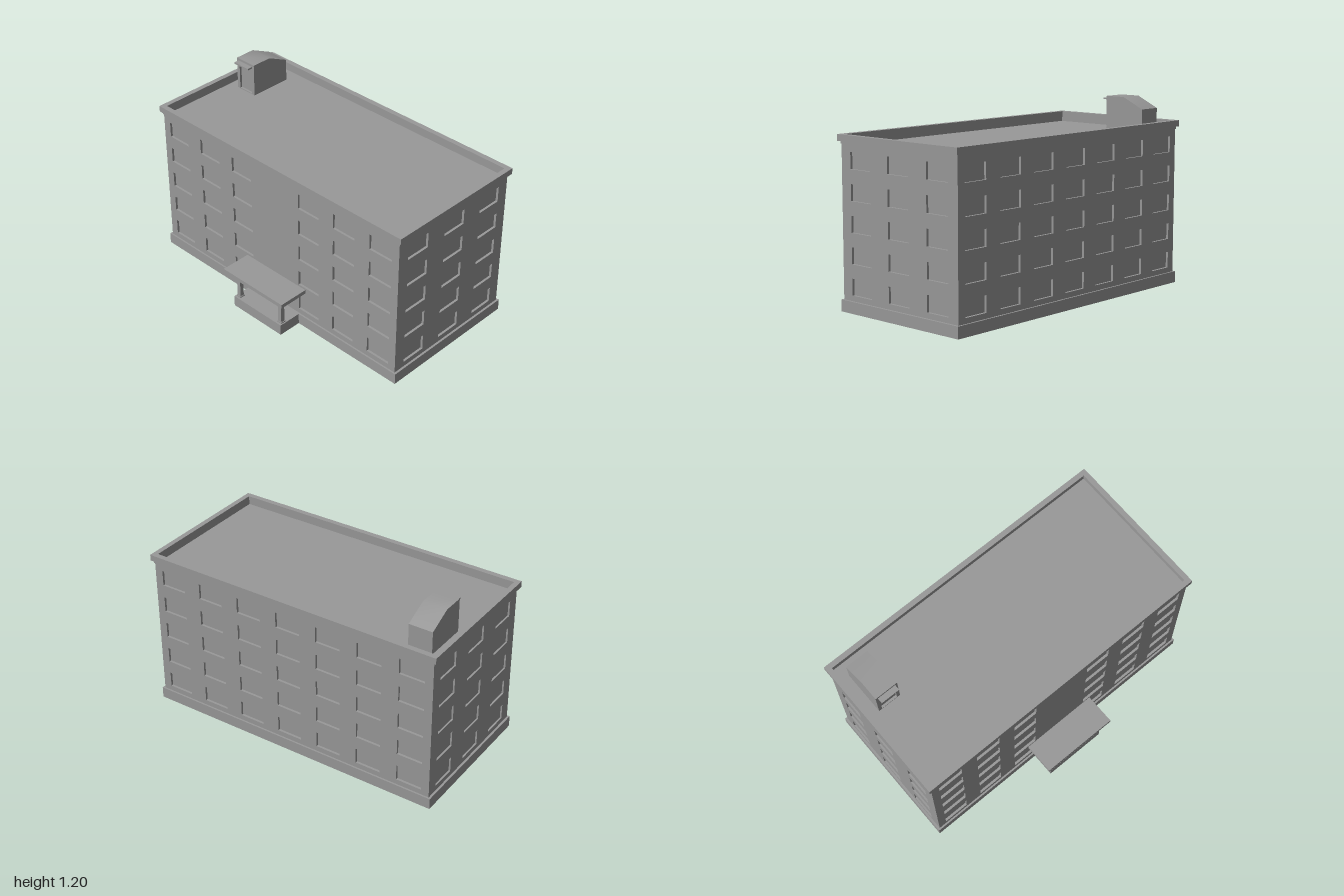
import * as THREE from 'three';
import { mergeGeometries, toCreasedNormals } from 'three/addons/utils/BufferGeometryUtils.js';

const CX = 0.092;                // centre of the block along x
const HW = 0.471, HD = 0.98;     // half width and half depth of the walls
const WALL_TOP = 1.009;
const WIN_W = 0.168, WIN_H = 0.101;
const ROWS = [0, 1, 2, 3, 4].map(i => 0.156 + i * 0.186);

const COLOR = 0x999999;
const grey = new THREE.MeshStandardMaterial({ color: COLOR, flatShading: true, side: THREE.DoubleSide });
const smoothGrey = new THREE.MeshStandardMaterial({ color: COLOR });

function addMesh(parent, name, geometry, material = grey) {
  const mesh = new THREE.Mesh(geometry, material);
  mesh.name = name;
  parent.add(mesh);
}

// Box given by its lower and upper corners
function addBox(parent, name, [x0, y0, z0], [x1, y1, z1]) {
  const g = new THREE.BoxGeometry(x1 - x0, y1 - y0, z1 - z0);
  g.translate((x0 + x1) / 2, (y0 + y1) / 2, (z0 + z1) / 2);
  addMesh(parent, name, g);
}

function rectPath(path, x0, y0, x1, y1) {
  path.moveTo(x0, y0);
  path.lineTo(x1, y0);
  path.lineTo(x1, y1);
  path.lineTo(x0, y1);
  path.closePath();
  return path;
}

// Rectangular band around the block, from y0 to y1
function addRing(parent, name, outer, inner, y0, y1) {
  const shape = rectPath(new THREE.Shape(), CX - outer[0], -outer[1], CX + outer[0], outer[1]);
  shape.holes.push(rectPath(new THREE.Path(), CX - inner[0], -inner[1], CX + inner[0], inner[1]));
  const g = new THREE.ExtrudeGeometry(shape, { depth: y1 - y0, bevelEnabled: false });
  g.rotateX(-Math.PI / 2);
  g.translate(0, y0, 0);
  addMesh(parent, name, g);
}

// Box without its front face
function openBox(w, h, d) {
  const g = new THREE.BoxGeometry(w, h, d);
  g.setIndex([...g.index.array].filter((_, i) => i < 24 || i >= 30));
  return g;
}

// Thin wall facing local +z, with a grid of recessed windows
function makeWall(name, halfLength, columns, recess) {
  const wall = new THREE.Group();
  wall.name = name;
  const shape = rectPath(new THREE.Shape(), -halfLength, 0, halfLength, WALL_TOP);
  const recesses = [];
  for (const x of columns) {
    for (const y of ROWS) {
      shape.holes.push(rectPath(new THREE.Path(), x - WIN_W / 2, y - WIN_H / 2, x + WIN_W / 2, y + WIN_H / 2));
      recesses.push(openBox(WIN_W, WIN_H, recess).translate(x, y, -recess / 2));
    }
  }
  addMesh(wall, name + 'Panel', new THREE.ShapeGeometry(shape));
  addMesh(wall, name + 'Windows', mergeGeometries(recesses));
  return wall;
}

function makeWalls() {
  const walls = new THREE.Group();
  walls.name = 'walls';
  const shortCols = [-1, 0, 1].map(i => i * 0.312);
  const longCols = [-3, -2, -1, 0, 1, 2, 3].map(i => i * 0.281);
  const sides = [
    ['frontWall', HW, shortCols, 0.015, [CX, 0, HD], 0],
    ['backWall', HW, shortCols, 0.011, [CX, 0, -HD], Math.PI],
    ['leftWall', HD, longCols, 0.015, [CX + HW, 0, 0], Math.PI / 2],
    ['entranceWall', HD, longCols.filter(c => c !== 0), 0.015, [CX - HW, 0, 0], -Math.PI / 2],
  ];
  for (const [name, half, cols, recess, pos, turn] of sides) {
    const wall = makeWall(name, half, cols, recess);
    wall.position.set(...pos);
    wall.rotation.y = turn;
    walls.add(wall);
  }
  return walls;
}

function makePorch() {
  const porch = new THREE.Group();
  porch.name = 'porch';
  // Hollow platform, open underneath
  const base = openBox(0.165, 0.41, 0.072);
  base.rotateX(Math.PI / 2);
  base.translate(-0.4625, 0.036, 0);
  addMesh(porch, 'porchPlatform', base);
  addBox(porch, 'porchRoof', [-0.58, 0.252, -0.253], [-0.362, 0.278, 0.253]);
  // Square columns with a collar at each end
  const x = -0.514, shaft = 0.0135, collar = 0.0175;
  for (const z of [-0.18, 0.18]) {
    addBox(porch, 'porchColumn', [x - shaft, 0.072, z - shaft], [x + shaft, 0.252, z + shaft]);
    for (const y of [0.072, 0.244]) {
      addBox(porch, 'columnCollar', [x - collar, y, z - collar], [x + collar, y + 0.008, z + collar]);
    }
  }
  return porch;
}

function makeStairHouse() {
  const house = new THREE.Group();
  house.name = 'stairHouse';
  const floor = 0.98, x0 = 0.185, x1 = 0.469, z0 = -0.91, z1 = -0.756, inset = 0.015;
  // Side profile with a flat top that slopes down, softly shaded at the bend
  const profile = new THREE.Shape();
  profile.moveTo(x0 + inset, floor);
  profile.lineTo(x1, floor);
  profile.lineTo(x1, 1.125);
  profile.lineTo(0.322, 1.195);
  profile.lineTo(x0 + inset, 1.195);
  profile.closePath();
  const body = new THREE.ExtrudeGeometry(profile, { depth: z1 - z0, bevelEnabled: false });
  body.translate(0, 0, z0);
  addMesh(house, 'stairHouseBody', toCreasedNormals(body, 0.6), smoothGrey);
  // Front wall with the doorway cut out
  const front = rectPath(new THREE.Shape(), z0, floor, z1, 1.195);
  front.holes.push(rectPath(new THREE.Path(), z0 + 0.022, floor + 0.005, z1 - 0.022, 1.16));
  const frame = new THREE.ExtrudeGeometry(front, { depth: inset, bevelEnabled: false });
  frame.rotateY(-Math.PI / 2);
  frame.translate(x0 + inset, 0, 0);
  addMesh(house, 'doorFrame', frame);
  addBox(house, 'doorCanopy', [0.148, 1.171, z0 + 0.015], [x0 + 0.005, 1.181, z1 - 0.015]);
  return house;
}

export function createModel() {
  const model = new THREE.Group();
  model.name = 'apartmentBlock';

  // Shell, open underneath
  model.add(makeWalls());
  addRing(model, 'plinth', [HW + 0.011, HD + 0.014], [HW, HD], 0, 0.072);

  // Flat roof and parapet
  const roof = new THREE.PlaneGeometry(HW * 2, HD * 2);
  roof.rotateX(-Math.PI / 2);
  roof.translate(CX, 0.98, 0);
  addMesh(model, 'roofDeck', roof);
  addRing(model, 'corniceMoulding', [HW + 0.004, HD + 0.004], [HW, HD], 0.992, WALL_TOP);
  addRing(model, 'parapet', [0.487, 1], [0.453, 0.967], WALL_TOP, 1.048);

  model.add(makePorch());
  model.add(makeStairHouse());
  return model;
}
